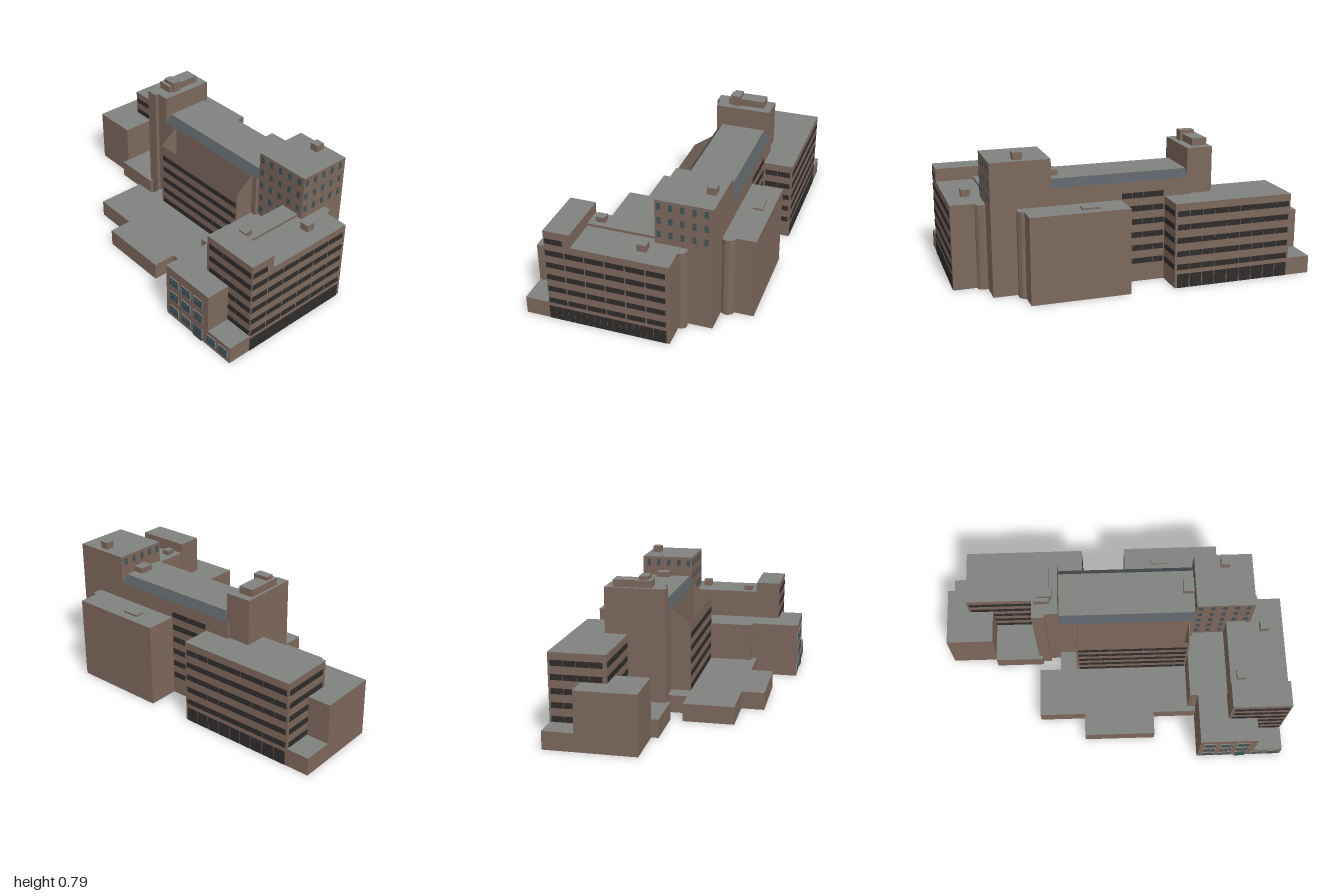
import * as THREE from 'three';
import { mergeGeometries } from 'three/addons/utils/BufferGeometryUtils.js';

const mat = (color, side = THREE.DoubleSide) => new THREE.MeshStandardMaterial({ color, side, flatShading: true });

export function createModel() {
  const group = new THREE.Group();
  const brick = mat(0x7d685d), roofing = mat(0x808280), slate = mat(0x555b60);
  const dark = mat(0x2f2c2c), teal = mat(0x3f535a), frameMat = mat(0xa9a49c);

  const add = (name, geo, material) => {
    const m = new THREE.Mesh(geo, material);
    m.name = name;
    group.add(m);
    return m;
  };

  // Open-bottomed block: brick walls with a separate roof plane
  function block(name, x0, x1, z0, z1, y1, y0 = 0, top = true) {
    const geo = new THREE.BoxGeometry(x1 - x0, y1 - y0, z1 - z0);
    geo.translate((x0 + x1) / 2, (y0 + y1) / 2, (z0 + z1) / 2);
    const idx = Array.from(geo.index.array);
    const roof = geo.clone();
    geo.setIndex([...idx.slice(0, 12), ...idx.slice(24)]);
    geo.clearGroups();
    add(name + 'Walls', geo, brick);
    if (!top) return;
    roof.setIndex(idx.slice(12, 18));
    roof.clearGroups();
    add(name + 'Roof', roof, roofing);
  }

  // Grid of panes on a wall; axis 'x' runs along x at z = plane, 'z' runs along z at x = plane
  function panes(name, axis, plane, a0, a1, count, rows, material = dark, fill = 0.96, t = 0.004) {
    const parts = [], pitch = (a1 - a0) / count, w = pitch * fill;
    for (const [y0, y1] of rows) for (let i = 0; i < count; i++) {
      const a = a0 + pitch * (i + 0.5), h = y1 - y0, y = (y0 + y1) / 2;
      parts.push(axis === 'x'
        ? new THREE.BoxGeometry(w, h, t).translate(a, y, plane)
        : new THREE.BoxGeometry(t, h, w).translate(plane, y, a));
    }
    add(name, mergeGeometries(parts), material);
  }

  // Extrudes a (z, y) profile along x
  function profile(name, pts, x0, x1, material) {
    const shape = new THREE.Shape(pts.map(p => new THREE.Vector2(...p)));
    const geo = new THREE.ExtrudeGeometry(shape, { depth: x1 - x0, bevelEnabled: false });
    add(name, geo.rotateY(-Math.PI / 2).translate(x1, 0, 0), material);
  }

  const floors = (n, first = 0) => Array.from({ length: n }, (_, i) => {
    const y = 0.103 + 0.075 * (first + i);
    return [y, y + 0.031];
  });

  // Left wing, its lower block and terraces
  block('leftWing', -0.85, -0.17, -0.56, -0.25, 0.475);
  panes('leftWingBackWindows', 'x', -0.56, -0.84, -0.18, 9, floors(5));
  panes('leftWingBackGlazing', 'x', -0.56, -0.84, -0.18, 9, [[0, 0.078]], dark, 0.93);
  panes('leftWingFrontWindows', 'x', -0.25, -0.84, -0.46, 6, floors(5));
  panes('leftWingSideWindows', 'z', -0.85, -0.55, -0.27, 4, floors(5));
  panes('leftWingInnerWindows', 'z', -0.17, -0.55, -0.4, 2, floors(5));
  block('leftLowBlock', -0.98, -0.71, -0.39, -0.06, 0.325);
  block('leftBackTerrace', -0.98, -0.85, -0.56, -0.39, 0.1);
  block('leftFrontTerrace', -0.71, -0.43, -0.25, -0.02, 0.1);

  // Stair tower in two steps, with rooftop plant
  block('stairTower', -0.45, -0.38, -0.375, -0.04, 0.73);
  block('stairTowerStep', -0.38, -0.305, -0.375, -0.06, 0.73);
  block('stairTowerPlant', -0.435, -0.35, -0.33, -0.12, 0.77, 0.73);
  block('stairTowerVent', -0.42, -0.335, -0.19, -0.14, 0.79, 0.73);

  // Main building with slate eaves front and back
  block('mainBuilding', -0.32, 0.465, -0.39, -0.06, 0.57, 0, false);
  profile('slateEaves', [[-0.39, 0.57], [-0.06, 0.57], [-0.095, 0.61], [-0.35, 0.61]], -0.305, 0.465, slate);
  block('mainRoof', -0.305, 0.465, -0.35, -0.095, 0.613, 0.61);
  block('mainRoofVent', 0.405, 0.465, -0.29, -0.21, 0.645, 0.61);
  panes('mainBackWindows', 'x', -0.39, -0.165, 0.075, 4, floors(6));

  // Front screen wall with raked end walls around an open court
  block('frontFacade', -0.215, 0.43, 0.044, 0.05, 0.49, 0, false);
  panes('frontFacadeWindows', 'x', 0.05, -0.205, 0.425, 10, floors(5));
  const rake = [[-0.06, 0], [0.05, 0], [0.05, 0.49], [-0.06, 0.57]];
  profile('courtEndWallRight', rake, -0.219, -0.215, brick);
  profile('courtEndWallLeft', rake, 0.43, 0.434, brick);

  // Front terraces
  block('frontTerrace', -0.445, 0.48, 0.052, 0.335, 0.1);
  block('frontTerraceBay', -0.18, 0.23, 0.335, 0.465, 0.1);
  block('courtTerrace', -0.32, -0.219, -0.06, 0.052, 0.1);

  // Left-hand tower with punched windows
  block('tallTower', 0.465, 0.79, -0.39, -0.08, 0.73);
  const towerRows = n => Array.from({ length: n }, (_, i) => [0.675 - 0.081 * i, 0.713 - 0.081 * i]);
  panes('tallTowerFrontWindows', 'x', -0.08, 0.455, 0.79, 5, towerRows(5), teal, 0.36);
  panes('tallTowerSideWindows', 'z', 0.79, -0.385, -0.07, 5, towerRows(3), teal, 0.34);
  panes('tallTowerInnerWindows', 'z', 0.465, -0.385, -0.07, 5, towerRows(1), teal, 0.34);
  block('tallTowerVent', 0.61, 0.66, -0.36, -0.31, 0.77, 0.73);

  // Long side wing with raised front end
  block('sideWing', 0.65, 0.975, -0.22, 0.305, 0.475);
  block('sideWingRidge', 0.65, 0.76, -0.08, 0.305, 0.49, 0.475);
  block('sideWingHead', 0.645, 0.975, 0.305, 0.45, 0.55);
  block('sideWingVentFront', 0.685, 0.73, 0.22, 0.27, 0.52, 0.49);
  block('sideWingVentBack', 0.84, 0.89, -0.07, -0.02, 0.515, 0.475);
  panes('sideWingWindows', 'z', 0.975, -0.205, 0.45, 6, floors(5), dark, 0.93);
  panes('sideWingGlazing', 'z', 0.975, -0.205, 0.45, 18, [[0, 0.08]], dark, 0.94);
  panes('sideWingHeadSideWindow', 'z', 0.975, 0.345, 0.445, 1, [[0.475, 0.506]]);
  panes('sideWingHeadFrontWindows', 'x', 0.45, 0.66, 0.97, 3, floors(6));
  block('innerLink', 0.434, 0.65, -0.09, 0.305, 0.325);

  // Front annex and its entrance terrace
  block('frontAnnex', 0.48, 0.81, 0.305, 0.585, 0.325);
  block('entranceTerrace', 0.81, 0.975, 0.45, 0.585, 0.1);
  const annexRows = [[0.215, 0.27], [0.118, 0.175], [0.02, 0.075]];
  panes('annexWindowFrames', 'x', 0.585, 0.495, 0.78, 3, annexRows, frameMat, 0.75, 0.004);
  panes('entranceFrames', 'x', 0.585, 0.79, 0.97, 2, [[0.02, 0.075]], frameMat, 0.75, 0.004);
  const split = annexRows.flatMap(([a, b]) => [[a + 0.003, a + 0.036], [a + 0.039, b - 0.003]]);
  for (let i = 0; i < 3; i++) {
    const c = 0.5425 + 0.095 * i;
    panes('annexWindowGlass', 'x', 0.586, c - 0.034, c + 0.034, 3, split, teal, 0.9, 0.006);
  }
  for (const c of [0.835, 0.925])
    panes('entranceGlass', 'x', 0.586, c - 0.032, c + 0.032, 3, split.slice(4), teal, 0.9, 0.006);
  panes('entranceDoor', 'x', 0.587, 0.7, 0.765, 2, [[0, 0.075]], teal, 0.92, 0.008);

  // Blank rear block and rounded corner shafts
  block('rearBlock', 0.08, 0.625, -0.565, -0.38, 0.475);
  block('rearHatch', 0.235, 0.33, -0.515, -0.46, 0.485, 0.475);
  for (const [x, z, r] of [[0.62, -0.42, 0.04], [0.81, -0.225, 0.035]]) {
    const shaft = new THREE.CylinderGeometry(r, r, 0.475, 10, 1, true).translate(x, 0.2375, z);
    add('cornerShaft', shaft, brick);
    add('cornerShaftCap', new THREE.CircleGeometry(r, 10).rotateX(-Math.PI / 2).translate(x, 0.4745, z), roofing);
  }

  // The whole plan is turned slightly
  group.rotation.y = 0.035;
  const root = new THREE.Group();
  root.name = 'building';
  root.add(group);
  return root;
}
